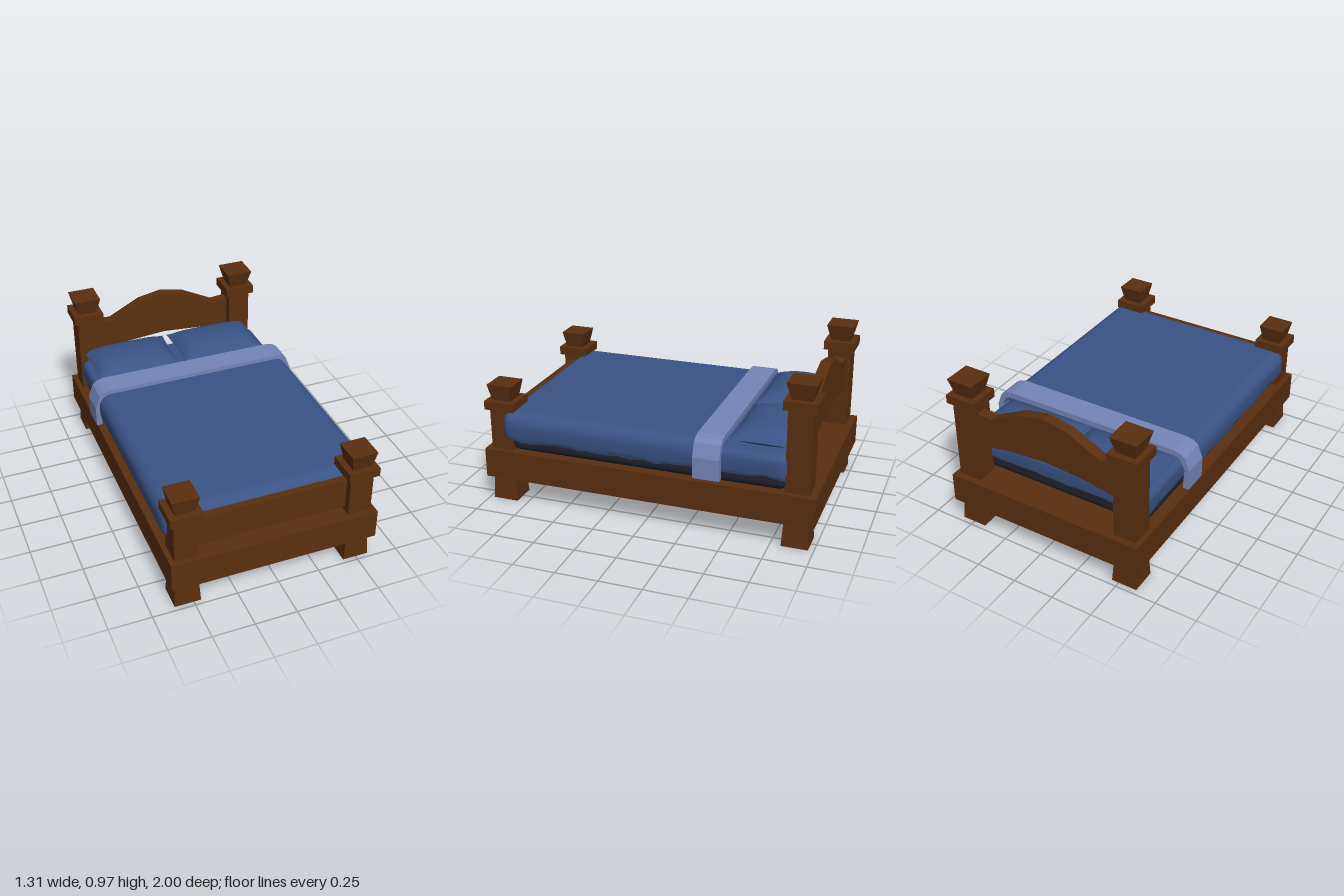
import * as THREE from 'three';
import { RoundedBoxGeometry } from 'three/addons/geometries/RoundedBoxGeometry.js';

const mat = (name, color, extra = {}) => {
  const m = new THREE.MeshStandardMaterial({ color, ...extra });
  m.name = name;
  return m;
};
const CX = -0.0175; // the frame sits slightly off centre

export function createModel() {
  const wood = mat('brown wood', 0x5a2f10);
  const blue = mat('blue cloth', 0x3a5486, { side: THREE.DoubleSide });
  const light = mat('light blue cloth', 0x7486b8);
  const dark = mat('dark mattress', 0x20242f);

  const bed = new THREE.Group();
  bed.name = 'bed';
  const add = (parent, name, geo, material, x = 0, y = 0, z = 0) => {
    const mesh = new THREE.Mesh(geo, material);
    mesh.name = name;
    mesh.position.set(x, y, z);
    parent.add(mesh);
    return mesh;
  };
  const box = (parent, name, material, x0, x1, y0, y1, z0, z1) =>
    add(parent, name, new THREE.BoxGeometry(x1 - x0, y1 - y0, z1 - z0), material,
      (x0 + x1) / 2, (y0 + y1) / 2, (z0 + z1) / 2);

  // Square block with different widths at top and bottom
  const taper = (parent, name, top, bottom, y0, y1) => {
    let g = new THREE.CylinderGeometry(top / Math.SQRT2, bottom / Math.SQRT2, y1 - y0, 4);
    g = g.rotateY(Math.PI / 4).toNonIndexed();
    g.computeVertexNormals();
    add(parent, name, g, wood, 0, (y0 + y1) / 2, 0);
  };

  // Base frame
  box(bed, 'baseFrame', wood, -0.635, 0.6, 0.15, 0.33, -1, 1);

  // Four posts with feet, collars and flared caps
  for (const side of [-1, 1]) {
    for (const [name, z, top, capW] of [['front', 0.895, 0.58, 0.155], ['rear', -0.89, 0.82, 0.165]]) {
      const post = new THREE.Group();
      post.name = name + (side > 0 ? 'LeftPost' : 'RightPost');
      post.position.set(CX + side * 0.5175, 0, z);
      taper(post, 'foot', 0.137, 0.155, 0, 0.15);
      taper(post, 'shaft', 0.14, 0.14, 0.33, top);
      taper(post, 'collar', 0.187, 0.187, top, top + 0.053);
      taper(post, 'cap', capW, 0.115, top + 0.053, top + 0.152);
      bed.add(post);
    }
  }

  // Footboard
  box(bed, 'footboard', wood, -0.48, 0.445, 0.36, 0.545, 0.875, 0.92);

  // Headboard with a crested top and an arched lower edge
  const crest = [[0.47, 0.775], [0.352, 0.765], [0.148, 0.867], [0, 0.895],
    [-0.148, 0.867], [-0.352, 0.765], [-0.47, 0.775]];
  const arch = [[-0.47, 0.555], [-0.25, 0.595], [0, 0.615], [0.25, 0.595], [0.47, 0.555]];
  const board = new THREE.Shape([...crest, ...arch].map(([x, y]) => new THREE.Vector2(x, y)));
  add(bed, 'headboard', new THREE.ExtrudeGeometry(board, { depth: 0.065, bevelEnabled: false }),
    wood, CX, 0, -0.93);

  // Mattress
  add(bed, 'mattress', new RoundedBoxGeometry(1.16, 0.19, 1.67, 4, 0.05), dark, -0.005, 0.425, 0.005);

  // Cloth draped over a rectangle: rounded shoulders and an uneven hem
  const drape = (name, x0, x1, z0, z1, top, hem, r) => {
    const hx = (x1 - x0) / 2 - r, hz = (z1 - z0) / 2 - r, outline = [];
    const corners = [[-hx, hz], [hx, hz], [hx, -hz], [-hx, -hz]];
    corners.forEach(([ax, az], s) => {
      const [bx, bz] = corners[(s + 1) % 4];
      for (let i = 0; i <= 20; i++) {
        const t = i / 20;
        outline.push([ax + (bx - ax) * t, az + (bz - az) * t, s * Math.PI / 2]);
      }
      for (let i = 1; i < 5; i++) outline.push([bx, bz, (s + i / 5) * Math.PI / 2]);
    });
    const rows = [];
    for (let k = 0; k <= 6; k++) {
      const a = k / 6 * Math.PI / 2;
      rows.push([r * Math.sin(a), top - r + r * Math.cos(a), 0]);
    }
    rows.push([r, hem + 0.03, 0], [r - 0.014, hem, 1]);
    const n = outline.length, pos = [0, top, 0], index = [];
    for (const [out, y, ragged] of rows) {
      outline.forEach(([x, z, t], j) => {
        const wave = ragged * (0.007 * Math.sin(j * 0.9) + 0.006 * Math.sin(j * 2.3 + 1));
        pos.push(x + out * Math.sin(t), y + wave, z + out * Math.cos(t));
      });
    }
    for (let j = 0; j < n; j++) {
      const j2 = (j + 1) % n;
      index.push(0, 1 + j, 1 + j2);
      for (let k = 0; k < rows.length - 1; k++) {
        const a = 1 + k * n, b = a + n;
        index.push(a + j, b + j, b + j2, a + j, b + j2, a + j2);
      }
    }
    const g = new THREE.BufferGeometry();
    g.setAttribute('position', new THREE.Float32BufferAttribute(pos, 3));
    g.setIndex(index);
    g.computeVertexNormals();
    add(bed, name, g, blue, (x0 + x1) / 2, 0, (z0 + z1) / 2);
  };
  drape('sheet', -0.6, 0.592, -0.835, 0.845, 0.545, 0.4, 0.045);
  drape('blanket', -0.628, 0.622, -0.46, 0.882, 0.585, 0.415, 0.075);

  // Folded band across the blanket
  const outer = [[0.655, 0.375], [0.655, 0.5], [0.625, 0.578], [0.595, 0.6], [0.55, 0.61]];
  const inner = [[0.55, 0.575], [0.59, 0.565], [0.625, 0.5], [0.618, 0.375]];
  const flip = (pts) => pts.map(([x, y]) => [-x, y]).reverse();
  const band = [...outer, ...flip(outer), ...flip(inner), ...inner];
  add(bed, 'foldedBand', new THREE.ExtrudeGeometry(
    new THREE.Shape(band.map(([x, y]) => new THREE.Vector2(x, y))),
    { depth: 0.155, bevelEnabled: false }), light, 0, 0, -0.472);

  // Two pillows: a box swollen towards the middle, pinched at the seam
  for (const [name, x] of [['rightPillow', -0.303], ['leftPillow', 0.269]]) {
    const g = new THREE.BoxGeometry(2, 2, 2, 16, 1, 14);
    const p = g.attributes.position;
    for (let i = 0; i < p.count; i++) {
      const u = p.getX(i), v = p.getZ(i), up = p.getY(i) > 0;
      const swell = Math.pow((1 - u ** 4) * (1 - v * v), 0.6);
      const pinchX = 1 - 0.03 * (1 - v * v), pinchZ = 1 - 0.03 * (1 - u * u);
      p.setXYZ(i, u * 0.272 * pinchX, (up ? 0.068 : -0.042) * swell, v * 0.19 * pinchZ);
    }
    g.computeVertexNormals();
    add(bed, name, g, blue, x, 0.583, -0.675);
  }
  return bed;
}
